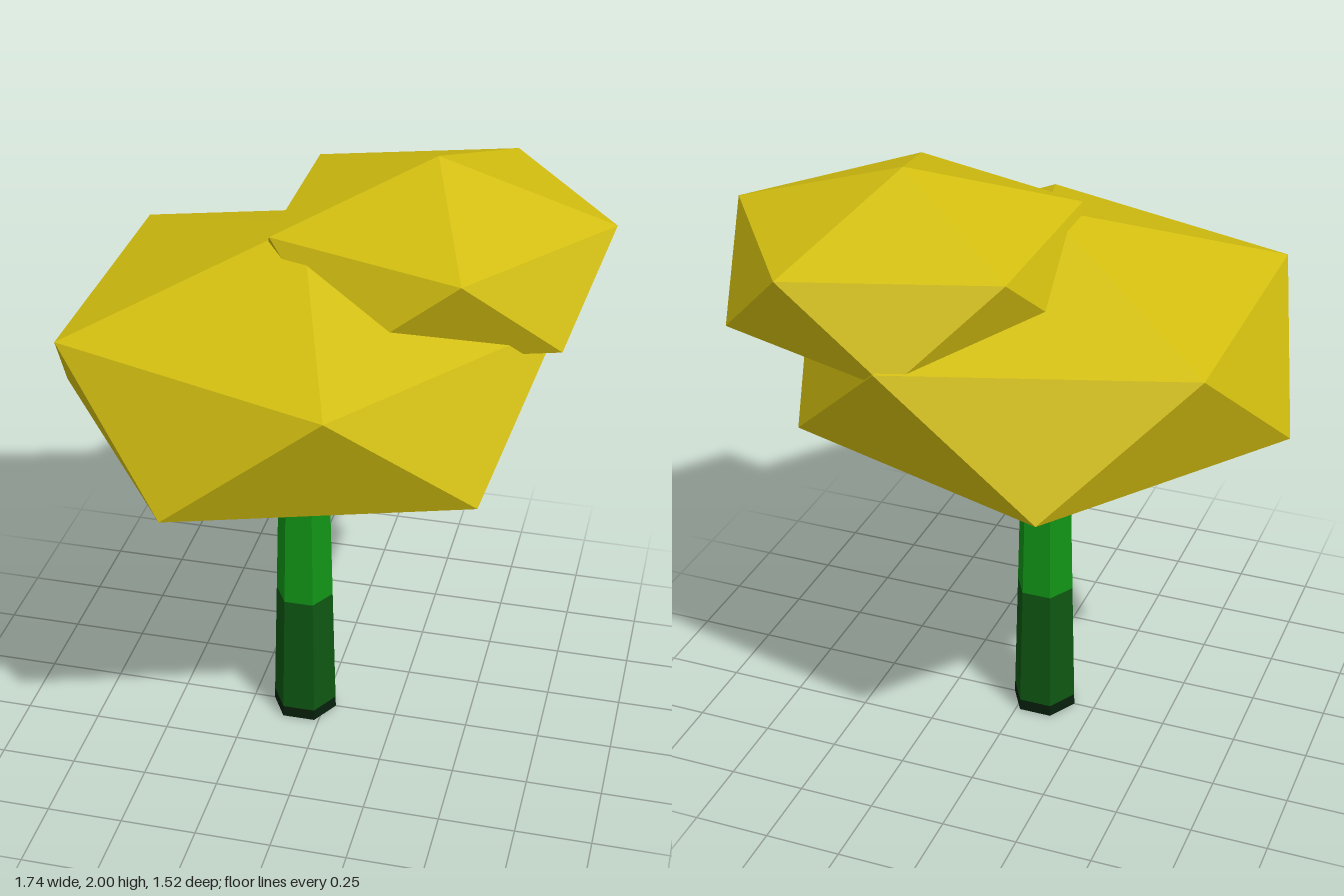
import * as THREE from 'three';

const paint = (name, color, extra = {}) => {
  const m = new THREE.MeshStandardMaterial({ color, flatShading: true, ...extra });
  m.name = name;
  return m;
};

// Corners of a level pentagon
const pentagon = (r, y, turn) => Array.from({ length: 5 }, (_, i) => {
  const a = (i + turn) * Math.PI * 0.4;
  return [r * Math.cos(a), y, r * Math.sin(a)];
});

// Upright squashed icosahedron: rings at +-h; the bottom tip (fraction of the
// lower cap) goes into a second material group
function leafLump(r, h, tipShare) {
  const apex = h * Math.sqrt(5);
  const top = [0, apex, 0], tip = [0, -apex, 0];
  const up = pentagon(r, h, 0), low = pentagon(r, -h, 0.5);
  const cut = pentagon(r * tipShare, -apex + (apex - h) * tipShare, 0.5);
  const leaf = [], under = [];
  for (let i = 0; i < 5; i++) {
    const j = (i + 1) % 5;
    leaf.push(top, up[j], up[i]);
    leaf.push(up[i], up[j], low[i]);
    leaf.push(low[i], up[j], low[j]);
    leaf.push(low[i], low[j], cut[j], low[i], cut[j], cut[i]);
    under.push(cut[i], cut[j], tip);
  }
  const geo = new THREE.BufferGeometry();
  geo.setAttribute('position', new THREE.Float32BufferAttribute([...leaf, ...under].flat(), 3));
  geo.addGroup(0, leaf.length, 0);
  geo.addGroup(leaf.length, under.length, 1);
  geo.computeVertexNormals();
  return geo;
}

export function createModel() {
  const model = new THREE.Group();
  model.name = 'tree';
  const leaf = paint('leaf yellow', 0xd2be10);
  const underside = paint('underside green', 0x68a012);
  const open = { side: THREE.DoubleSide };
  const bark = paint('bark green', 0x119416, open);
  const barkDark = paint('dark bark green', 0x0e5612, open);
  const barkBase = paint('trunk base', 0x071f0b, open);

  // Tapered six-sided trunk, open at the ends, in three colour bands
  const trunk = new THREE.Group();
  trunk.name = 'trunk';
  trunk.position.x = -0.07;
  const radius = y => 0.11 - 0.026 * y;
  const bands = [
    ['trunkBase', 0, 0.04, barkBase],
    ['trunkLower', 0.04, 0.475, barkDark],
    ['trunkUpper', 0.475, 1.0, bark],
  ];
  for (const [name, y0, y1, mat] of bands) {
    const geo = new THREE.CylinderGeometry(radius(y1), radius(y0), y1 - y0, 6, 1, true);
    geo.rotateY(Math.PI / 6);
    const mesh = new THREE.Mesh(geo, mat);
    mesh.name = name;
    mesh.position.y = (y0 + y1) / 2;
    trunk.add(mesh);
  }
  model.add(trunk);

  // Two overlapping lumps of foliage
  const addLump = (name, r, h, tipShare, x, y, z, mats) => {
    const mesh = new THREE.Mesh(leafLump(r, h, tipShare), mats);
    mesh.name = name;
    mesh.position.set(x, y, z);
    model.add(mesh);
  };
  addLump('mainCanopy', 0.8, 0.1985, 0.31, -0.07, 1.387, 0, [leaf, underside]);
  addLump('upperCanopy', 0.56, 0.14, 0.3, 0.305, 1.686, -0.223, [leaf, leaf]);

  return model;
}
